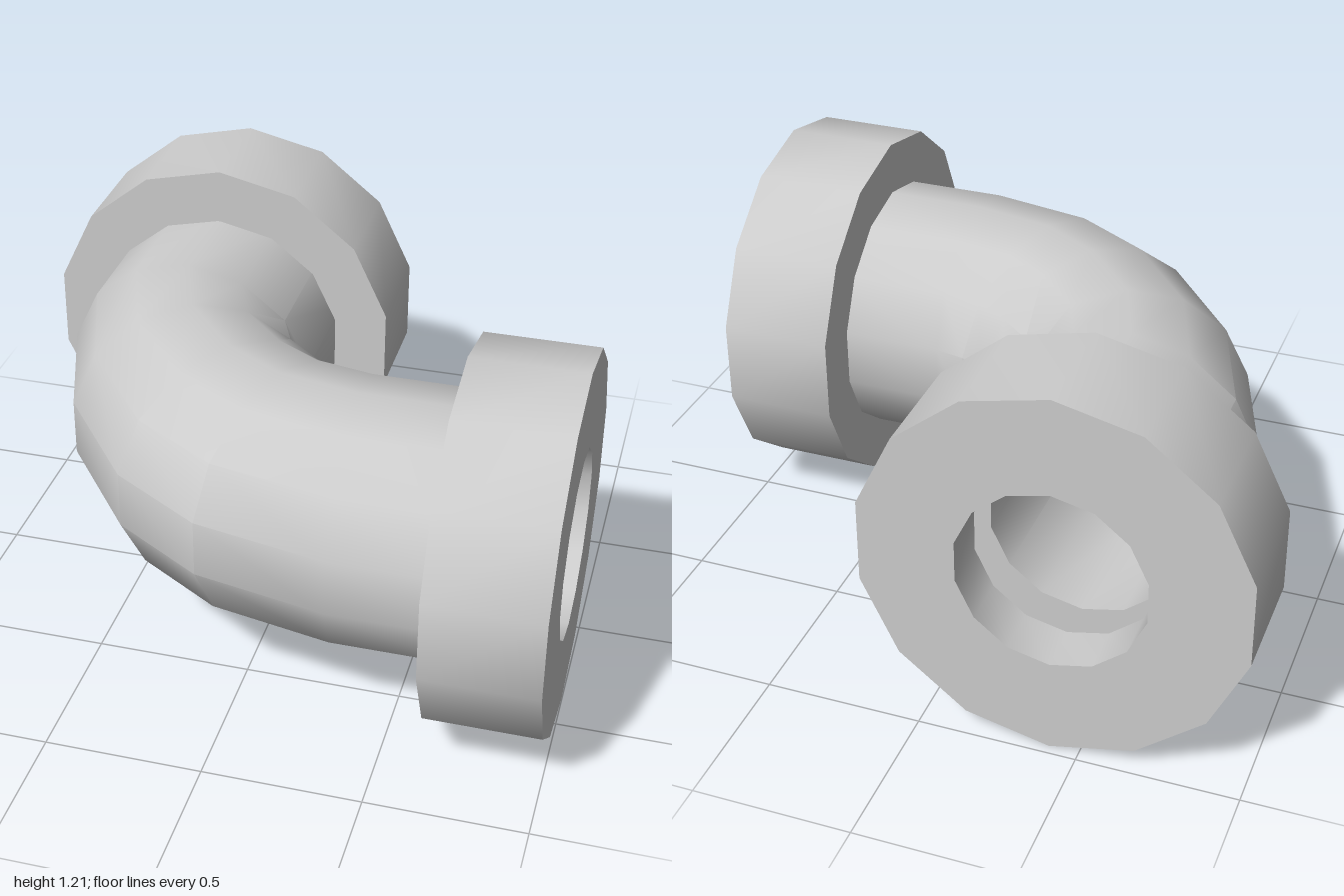
import * as THREE from 'three';
import { toCreasedNormals } from 'three/addons/utils/BufferGeometryUtils.js';

const SIDES = 14;
const AXIS_Y = 0.612;
const PIPE_R = 0.4225;
const BORE_R = 0.297;
const WIDEST = Math.cos(Math.PI / SIDES); // sideways reach of a ring with a corner on top

const material = new THREE.MeshStandardMaterial({ color: 0xcccccc });

function makeMesh(name, geometry) {
  const mesh = new THREE.Mesh(toCreasedNormals(geometry, Math.PI / 6), material);
  mesh.name = name;
  return mesh;
}

// Pipe stations in plan: outer side x, z and inner side x, z
const STATIONS = [
  [-0.826, -0.69, 0, -0.69],
  [-0.826, -0.26, 0, -0.25],
  [-0.68, 0.165, 0.04, -0.17],
  [-0.4, 0.525, 0.135, -0.1],
  [-0.1, 0.71, 0.22, -0.05],
  [0.32, 0.795, 0.32, -0.03],
  [0.72, 0.795, 0.72, -0.03],
];

// Thick-walled bent pipe: outer skin, then back along the bore, closed at both ends
function elbowGeometry() {
  const rows = [
    ...STATIONS.map((s) => [s, 1]),
    ...[...STATIONS].reverse().map((s) => [s, BORE_R / PIPE_R]),
  ];
  const positions = [];
  for (const [[ox, oz, ix, iz], scale] of rows) {
    const cx = (ox + ix) / 2, cz = (oz + iz) / 2;
    for (let k = 0; k < SIDES; k++) {
      const a = (k / SIDES) * Math.PI * 2;
      const side = (Math.sin(a) / WIDEST) * scale;
      positions.push(
        cx + (ox - cx) * side,
        AXIS_Y + PIPE_R * scale * Math.cos(a),
        cz + (oz - cz) * side
      );
    }
  }
  const index = [];
  for (let i = 0; i < rows.length; i++) {
    const j = (i + 1) % rows.length;
    for (let k = 0; k < SIDES; k++) {
      const n = (k + 1) % SIDES;
      const a = i * SIDES + k, b = i * SIDES + n, c = j * SIDES + n, d = j * SIDES + k;
      index.push(a, b, c, a, c, d);
    }
  }
  const geometry = new THREE.BufferGeometry();
  geometry.setAttribute('position', new THREE.Float32BufferAttribute(positions, 3));
  geometry.setIndex(index);
  return geometry;
}

// Socket collar: a lip with a narrow bore in front of a wider socket for the pipe.
// The open face lies at the origin and looks toward -z.
function collarGeometry(radius, length) {
  const lip = 0.16, socket = PIPE_R;
  const profile = [
    [socket, -length],
    [radius, -length],
    [radius, 0],
    [BORE_R, 0],
    [BORE_R, -lip],
    [socket, -lip],
    [socket, -length],
  ].map(([r, h]) => new THREE.Vector2(r, h));
  return new THREE.LatheGeometry(profile, SIDES).rotateX(-Math.PI / 2);
}

export function createModel() {
  const model = new THREE.Group();
  model.name = 'pipeElbow';

  model.add(makeMesh('bentPipe', elbowGeometry()));

  const backCollar = makeMesh('backCollar', collarGeometry(0.607, 0.38));
  backCollar.position.set(-0.406, AXIS_Y, -0.97);
  model.add(backCollar);

  const sideCollar = makeMesh('sideCollar', collarGeometry(0.597, 0.36));
  sideCollar.rotation.y = -Math.PI / 2;
  sideCollar.position.set(1, AXIS_Y, 0.386);
  model.add(sideCollar);

  return model;
}
